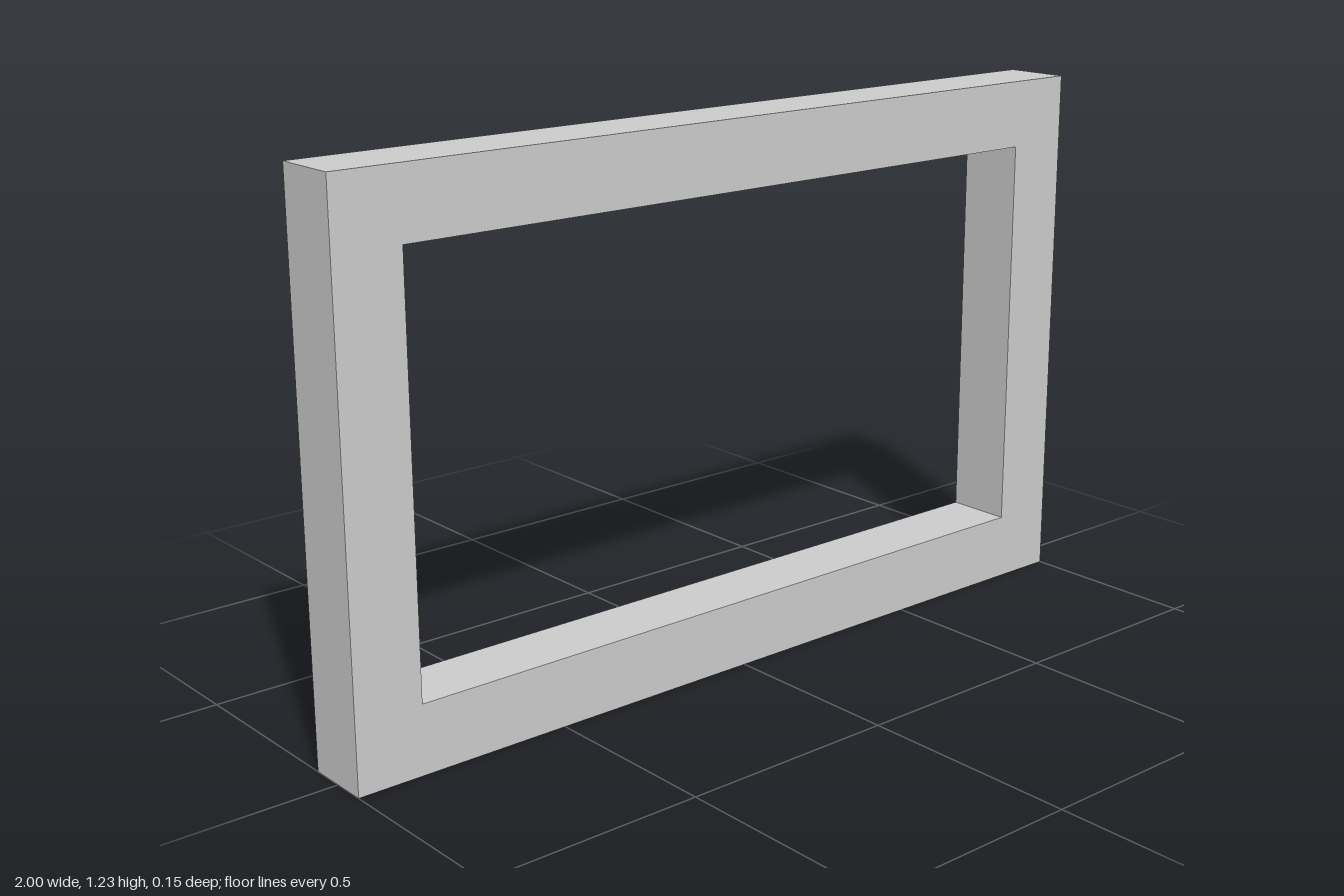
import * as THREE from 'three';

const BAR = 2 / 13; // width and depth of the square frame bars
const WIDTH = 13 * BAR;
const HEIGHT = 8 * BAR;

// Rectangle centred on x, inset evenly from the outer edge
function rectangle(path, inset) {
  const x = WIDTH / 2 - inset;
  path.moveTo(-x, inset);
  path.lineTo(x, inset);
  path.lineTo(x, HEIGHT - inset);
  path.lineTo(-x, HEIGHT - inset);
  path.closePath();
  return path;
}

export function createModel() {
  const group = new THREE.Group();
  group.name = 'rectangularFrame';

  // Outer outline with the opening cut out
  const outline = rectangle(new THREE.Shape(), 0);
  outline.holes.push(rectangle(new THREE.Path(), BAR));

  const geometry = new THREE.ExtrudeGeometry(outline, { depth: BAR, bevelEnabled: false });
  geometry.translate(0, 0, -BAR / 2);

  const material = new THREE.MeshStandardMaterial({ color: 0xcccccc, flatShading: true });
  const frame = new THREE.Mesh(geometry, material);
  frame.name = 'frame';
  group.add(frame);

  return group;
}
